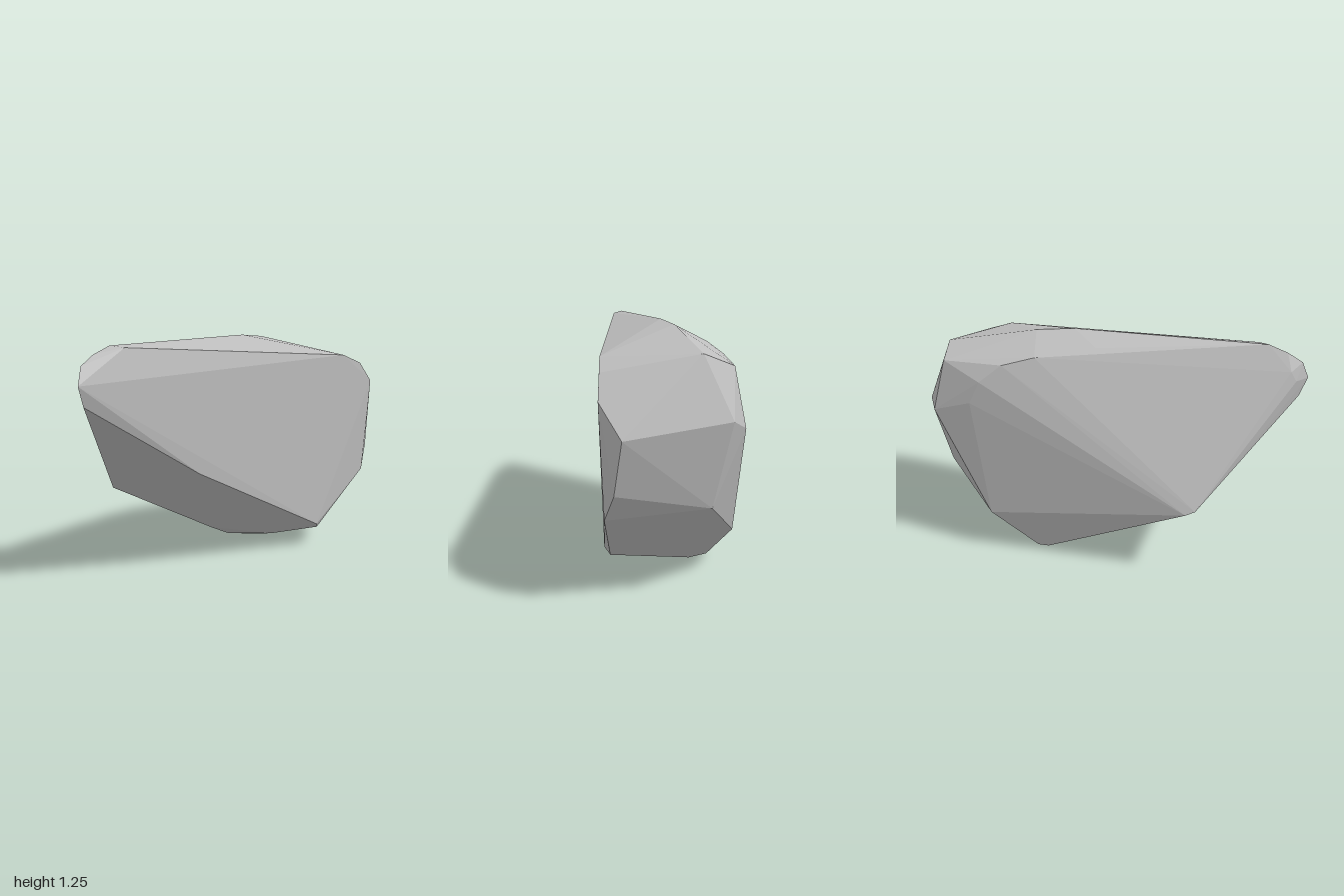
import * as THREE from 'three';
import { ConvexGeometry } from 'three/addons/geometries/ConvexGeometry.js';

export function createModel() {
  const group = new THREE.Group();
  group.name = 'rock';

  const stone = new THREE.MeshStandardMaterial({ color: 0xbdbdbd });
  stone.name = 'light grey stone';

  // Corners of the boulder, grouped by the side they bound
  const tip = [
    [-1, 1.03, -0.11], [-0.96, 0.93, -0.12], [-0.96, 1.12, -0.13],
    [-0.93, 1.03, -0.17], [-0.88, 1.17, -0.13], [-0.9, 1.08, -0.17],
    [-0.78, 1.21, -0.12], [-0.74, 1.2, -0.06],
  ];
  const frontRim = [
    [0.64, 1.13, 0.4], [0.78, 1.08, 0.44], [0.87, 0.97, 0.47], [0.87, 0.82, 0.46],
    [0.84, 0.42, 0.44], [0.5, 0.1, 0.32], [-0.35, 0.54, 0.085],
  ];
  const rightEnd = [
    [0.99, 0.82, 0.4], [0.93, 0.56, 0.42], [1, 0.87, -0.11], [0.94, 0.46, -0.04],
    [0.9, 1.16, 0], [0.97, 0.83, -0.18], [0.9, 1.1, -0.15],
  ];
  const top = [
    [0.22, 1.25, -0.04], [0.42, 1.24, -0.04], [0.1, 1.19, -0.17], [0.41, 1.15, -0.22],
  ];
  const back = [
    [-0.43, 0.41, -0.465], [-0.38, 0.39, -0.47], [0.58, 1.11, -0.235],
    [0.7, 1.02, -0.25], [0.76, 0.9, -0.245], [0.69, 0.24, -0.26],
  ];
  const bottom = [
    [0.38, 0.01, -0.24], [0.44, 0.01, -0.23], [0.44, 0, -0.13], [0.4, 0.005, -0.13],
    [0.42, 0.03, 0.04], [0.46, 0.13, 0.34], [-0.08, 0.24, -0.3], [0.15, 0.09, -0.22],
    [0.3, 0.02, -0.2],
  ];

  const corners = [tip, frontRim, rightEnd, top, back, bottom].flat()
    .map(([x, y, z]) => new THREE.Vector3(x, y, z));

  // Hull with one flat normal per facet
  const boulder = new THREE.Mesh(new ConvexGeometry(corners), stone);
  boulder.name = 'boulder';
  group.add(boulder);
  return group;
}
